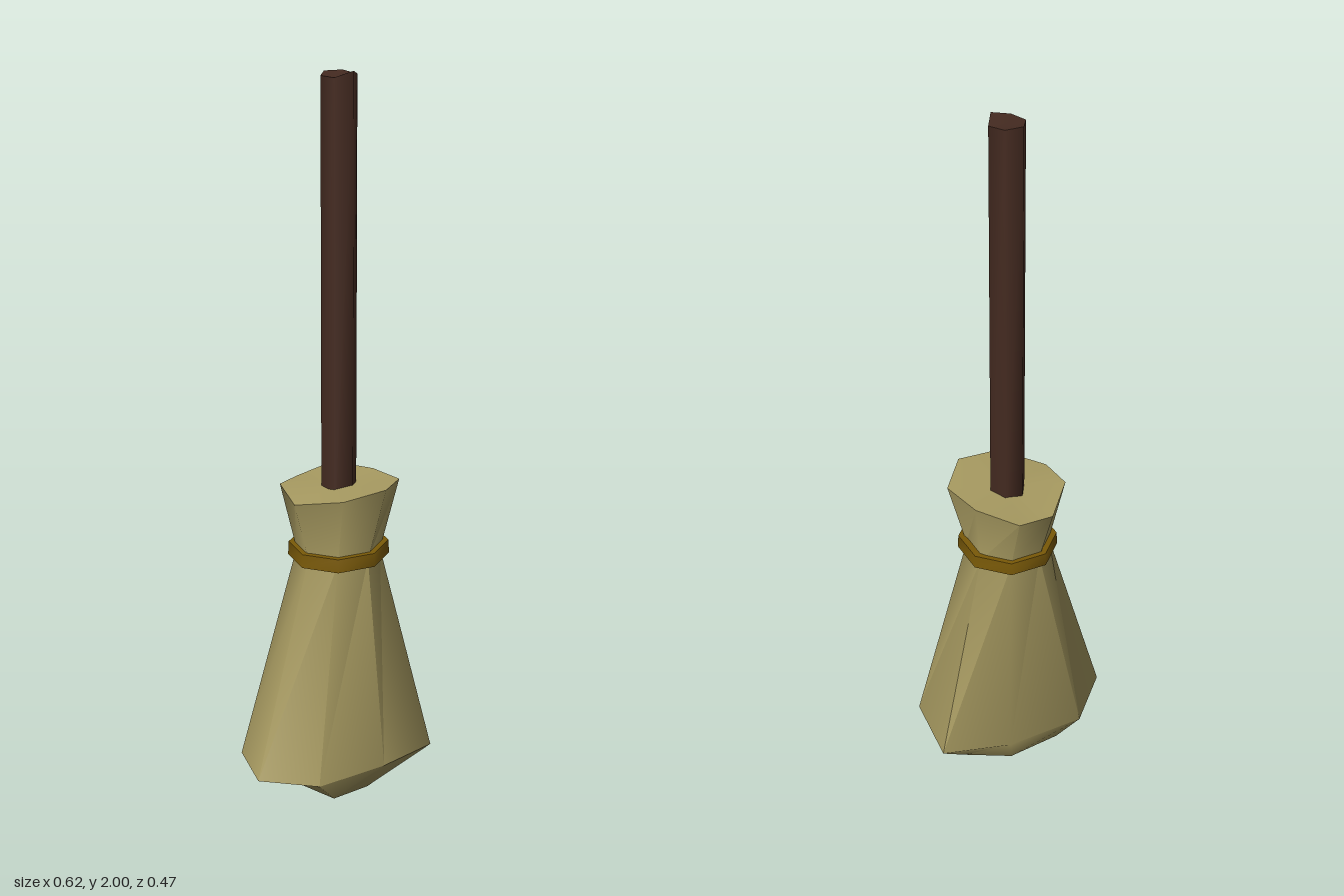
import * as THREE from 'three';
import { toCreasedNormals } from 'three/addons/utils/BufferGeometryUtils.js';

// Skin between rings of [x, y, z] points, listed from bottom to top and
// running counter-clockwise from above. Caps are fans around a centre point.
function loft(rings, { bottom, top, crease = 0.9 } = {}) {
  const n = rings[0].length;
  const pos = rings.flat(2);
  const index = [];
  for (let r = 0; r < rings.length - 1; r++) {
    for (let i = 0; i < n; i++) {
      const a = r * n + i, b = r * n + (i + 1) % n;
      index.push(a, b, b + n, a, b + n, a + n);
    }
  }
  const cap = (centre, start, up) => {
    const c = pos.length / 3;
    pos.push(...centre);
    for (let i = 0; i < n; i++) {
      const a = start + i, b = start + (i + 1) % n;
      index.push(...(up ? [a, b, c] : [b, a, c]));
    }
  };
  if (bottom) cap(bottom, 0, false);
  if (top) cap(top, (rings.length - 1) * n, true);
  const g = new THREE.BufferGeometry();
  g.setAttribute('position', new THREE.Float32BufferAttribute(pos, 3));
  g.setIndex(index);
  return toCreasedNormals(g, crease);
}

// Regular ring, starting at -x and passing through +z, tilted up towards +x
function ring(radius, y, cx = 0, tilt = 0, n = 8) {
  return Array.from({ length: n }, (_, i) => {
    const a = (i / n) * Math.PI * 2;
    const x = -Math.cos(a) * radius;
    return [cx + x, y + x * tilt, Math.sin(a) * radius];
  });
}

export function createModel() {
  const straw = new THREE.MeshStandardMaterial({ color: 0xa99c62 });
  straw.name = 'straw';
  const wood = new THREE.MeshStandardMaterial({ color: 0x452b21 });
  wood.name = 'darkWood';
  const rope = new THREE.MeshStandardMaterial({ color: 0x7a5a08 });
  rope.name = 'goldenRope';

  const model = new THREE.Group();
  model.name = 'broom';
  const add = (name, geometry, material) => {
    const mesh = new THREE.Mesh(geometry, material);
    mesh.name = name;
    model.add(mesh);
  };

  // Bristles: uneven foot, wide skirt, tied neck, flared collar
  const foot = [
    [-0.2, 0.05, 0.01], [-0.13, 0.005, 0.12], [-0.02, 0.01, 0.14], [0.14, 0.015, 0.1],
    [0.21, 0.015, -0.01], [0.13, 0.02, -0.12], [-0.02, 0.02, -0.165], [-0.16, 0.04, -0.1],
  ];
  const skirt = [
    [-0.313, 0.085, 0.01], [-0.21, 0.08, 0.145], [-0.05, 0.12, 0.235], [0.195, 0.08, 0.18],
    [0.312, 0.1, -0.02], [0.16, 0.1, -0.143], [-0.035, 0.12, -0.238], [-0.235, 0.09, -0.143],
  ];
  const collar = [
    [-0.16, 0.85, 0], [-0.1, 0.875, 0.125], [0.02, 0.89, 0.167], [0.13, 0.88, 0.11],
    [0.15, 0.875, -0.01], [0.12, 0.87, -0.14], [0.01, 0.85, -0.165], [-0.11, 0.87, -0.11],
  ];
  add('bristles', loft([foot, skirt, ring(0.115, 0.68, 0.005), collar],
    { bottom: [0, 0.015, 0], top: [0.01, 0.868, 0] }), straw);

  // Binding: closed square-section band around the neck
  const inner = ring(0.11, 0.667, 0.006, 0.03);
  add('binding', loft([
    inner,
    ring(0.139, 0.665, 0.006, 0.03),
    ring(0.137, 0.703, 0.006, 0.03),
    ring(0.11, 0.703, 0.006, 0.03),
    inner,
  ]), rope);

  // Handle: six-sided pole with a roughly cut end
  const section = [
    [-0.033, 0.022], [0.015, 0.046], [0.052, 0.022],
    [0.05, -0.03], [0.005, -0.053], [-0.033, -0.027],
  ];
  const cut = [1.985, 2, 1.985, 1.99, 1.99, 1.985];
  add('handle', loft([
    section.map(([x, z]) => [x, 0.7, z]),
    section.map(([x, z], i) => [x, cut[i], z]),
  ], { bottom: [0.01, 0.7, 0], top: [0.01, 1.983, 0], crease: 1.15 }), wood);

  return model;
}
